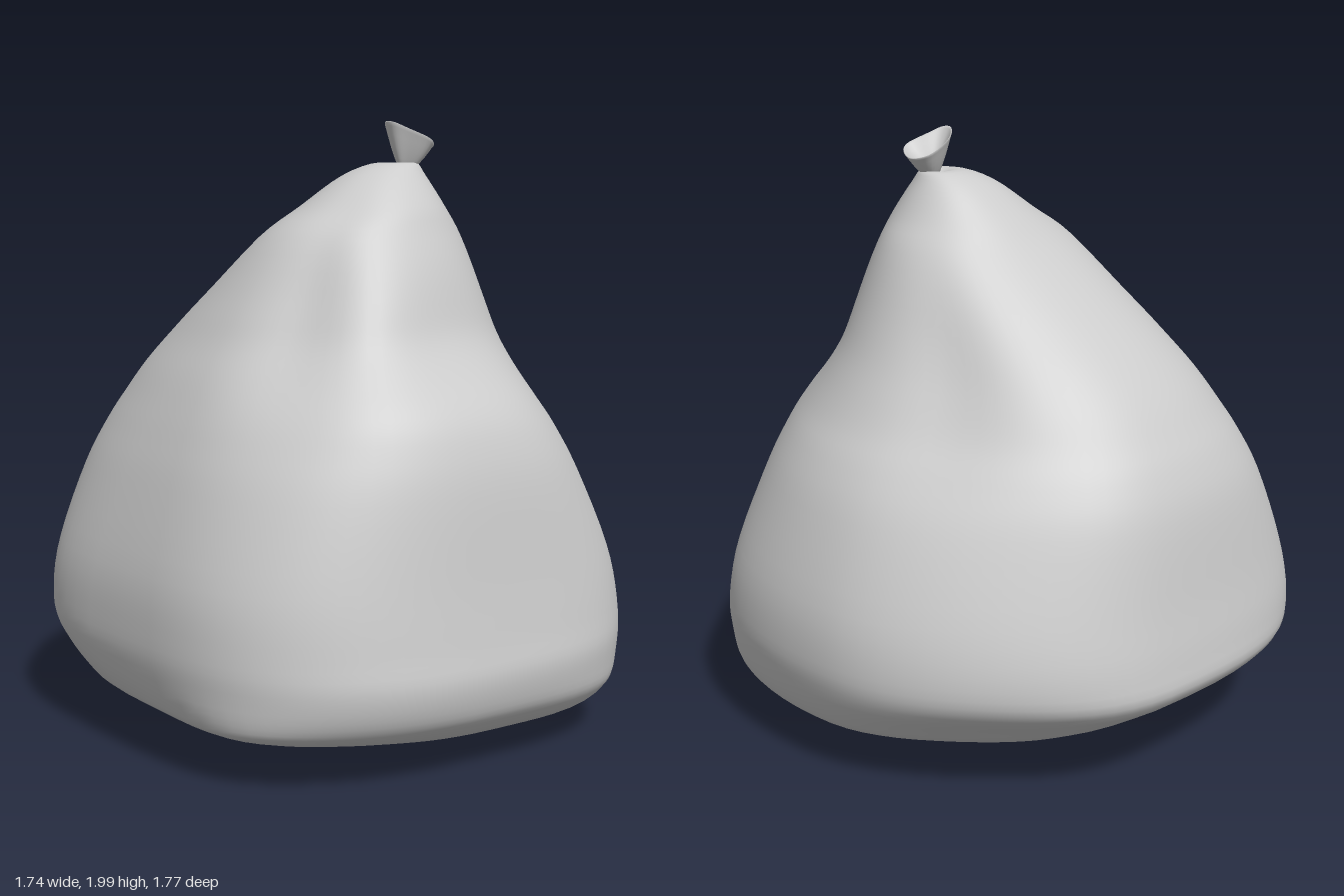
import * as THREE from 'three';
import { mergeVertices } from 'three/addons/utils/BufferGeometryUtils.js';

// Skins a list of closed rings (all of equal length) with smooth normals
function loft(rings) {
  const n = rings[0].length, index = [];
  for (let r = 0; r < rings.length - 1; r++) {
    for (let i = 0; i < n; i++) {
      const a = r * n + i, b = r * n + (i + 1) % n;
      index.push(a, a + n, b, b, a + n, b + n);
    }
  }
  let geo = new THREE.BufferGeometry().setFromPoints(rings.flat());
  geo.setIndex(index);
  geo = mergeVertices(geo, 1e-4);
  geo.computeVertexNormals();
  return geo;
}

const bump = (d, w) => Math.exp(-(d * d) / (w * w));
const angleGap = (a, b) => Math.atan2(Math.sin(a - b), Math.cos(a - b));

// Bag sections: height, x from, x to, z from, z to
const sections = [
  [0.00, 0.14, 0.14, 0.28, 0.28],
  [0.015, -0.06, 0.33, 0.0, 0.48],
  [0.05, -0.29, 0.47, -0.2, 0.61],
  [0.10, -0.52, 0.65, -0.5, 0.74],
  [0.15, -0.76, 0.77, -0.64, 0.81],
  [0.21, -0.83, 0.82, -0.75, 0.86],
  [0.31, -0.865, 0.855, -0.88, 0.885],
  [0.42, -0.87, 0.87, -0.88, 0.87],
  [0.60, -0.85, 0.85, -0.85, 0.845],
  [0.86, -0.77, 0.76, -0.81, 0.815],
  [1.00, -0.715, 0.685, -0.76, 0.785],
  [1.10, -0.67, 0.61, -0.70, 0.75],
  [1.20, -0.62, 0.545, -0.63, 0.69],
  [1.30, -0.56, 0.485, -0.54, 0.63],
  [1.42, -0.49, 0.425, -0.41, 0.565],
  [1.62, -0.355, 0.335, -0.18, 0.435],
  [1.72, -0.22, 0.265, -0.08, 0.375],
  [1.82, -0.08, 0.20, 0.03, 0.29],
  [1.862, 0.04, 0.165, 0.12, 0.235],
  [1.835, 0.12, 0.12, 0.19, 0.19],
];

// Hollows, or swellings if negative: angle, height, angular width, height spread, depth
const hollows = [
  [2.55, 1.40, 0.33, 0.28, 0.12],
  [-0.4, 1.25, 0.3, 0.28, 0.08],
  [1.45, 1.35, 0.6, 0.2, 0.12],
  [0.8, 1.05, 0.5, 0.4, 0.06],
  [-0.8, 1.0, 0.5, 0.4, 0.06],
  [-0.8, 0.2, 0.5, 0.13, 0.06],
  [-2.35, 0.25, 0.5, 0.12, 0.03],
  [1.05, 0.1, 0.5, 0.1, -0.06],
  [2.75, 0.12, 0.4, 0.1, -0.05],
];

function bagGeometry() {
  const curve = (i) => new THREE.CatmullRomCurve3(
    sections.map((s) => new THREE.Vector3(s[0], s[i], s[i + 1])), false, 'catmullrom', 0.5);
  const xs = curve(1), zs = curve(3), rows = 76, cols = 72, rings = [];
  for (let r = 0; r <= rows; r++) {
    const px = xs.getPoint(r / rows), pz = zs.getPoint(r / rows), y = px.x;
    const upper = THREE.MathUtils.smoothstep(y, 0.4, 1.6);
    const ring = [];
    for (let i = 0; i < cols; i++) {
      const t = (i / cols) * Math.PI * 2, c = Math.cos(t), s = Math.sin(t);
      // Squareness differs from corner to corner and fades towards the neck
      const square = 2.67 - 0.46 * c + 0.07 * s + 0.5 * c * s;
      const e = 2 / THREE.MathUtils.lerp(square, 2.05, upper);
      let k = 1;
      for (const [a, h, wa, wh, d] of hollows) k -= d * bump(angleGap(t, a), wa) * bump(y - h, wh);
      ring.push(new THREE.Vector3(
        (px.y + px.z) / 2 + k * (px.z - px.y) / 2 * Math.sign(c) * Math.abs(c) ** e,
        y,
        (pz.y + pz.z) / 2 + k * (pz.z - pz.y) / 2 * Math.sign(s) * Math.abs(s) ** e));
    }
    rings.push(ring);
  }
  return loft(rings);
}

// Flared, slanted cup of the tied end: rim outline scaled along a wall profile
function knotGeometry() {
  const rim = new THREE.CatmullRomCurve3(
    [[0.22, 0.18], [0.205, 0.235], [0.16, 0.283], [0.09, 0.25], [0.047, 0.22], [0.045, 0.185],
      [0.1, 0.135], [0.19, 0.13]]
      .map(([x, z]) => new THREE.Vector3(x, 1.997 - (x - 0.04) * 0.5, z)), true);
  const outline = rim.getPoints(36).slice(0, 36);
  const base = new THREE.Vector3(0.122, 1.842, 0.193);
  // Scale of the rim, share of its height: up the outside, over the lip, down the inside
  const profile = [[0.26, 0], [0.36, 0.06], [0.5, 0.22], [0.68, 0.46], [0.83, 0.7], [0.95, 0.9], [1, 0.97],
    [0.98, 1], [0.91, 0.96], [0.75, 0.78], [0.5, 0.6], [0.25, 0.5], [0, 0.48]];
  return loft(profile.map(([k, h]) => outline.map((p) => new THREE.Vector3(
    base.x + (p.x - base.x) * k,
    base.y + (1.95 - base.y) * h + (p.y - 1.95) * Math.min(h, k),
    base.z + (p.z - base.z) * k))));
}

export function createModel() {
  const group = new THREE.Group();
  const material = new THREE.MeshStandardMaterial({ color: 0xcccccc });
  const add = (name, geometry) => {
    const mesh = new THREE.Mesh(geometry, material);
    mesh.name = name;
    group.add(mesh);
  };
  add('bag', bagGeometry());
  add('tiedEnd', knotGeometry());
  return group;
}
